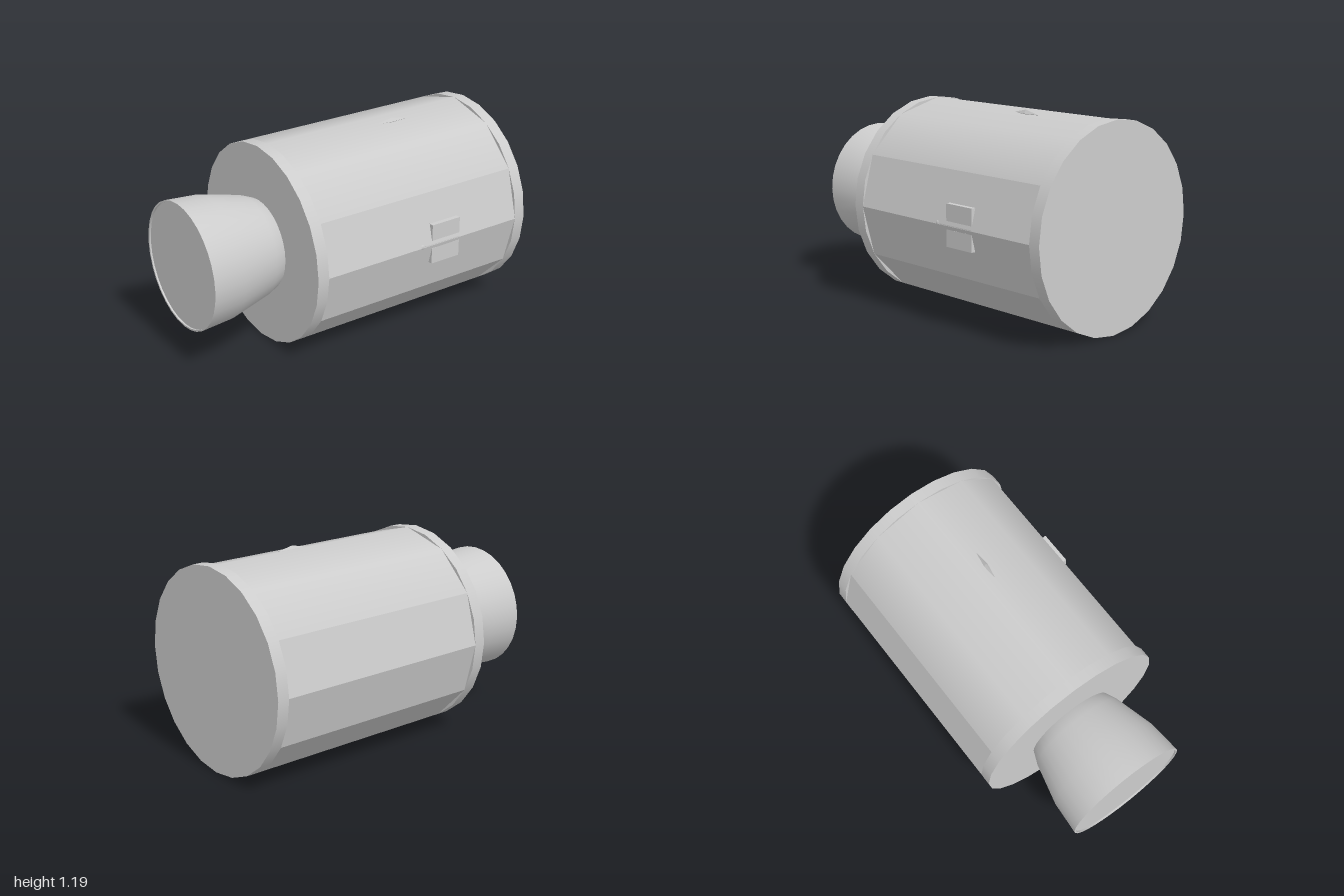
import * as THREE from 'three';

const R = 0.593; // body radius and height of its axis

export function createModel() {
  const model = new THREE.Group();
  const grey = new THREE.MeshStandardMaterial({ color: 0xcccccc });
  grey.name = 'light grey';

  const add = (name, geometry, x = 0, y = R, z = 0) => {
    const mesh = new THREE.Mesh(geometry, grey);
    mesh.name = name;
    mesh.position.set(x, y, z);
    model.add(mesh);
    return mesh;
  };
  const flat = (geometry) => {
    const g = geometry.toNonIndexed();
    g.computeVertexNormals();
    return g;
  };
  const alongX = (geometry) => geometry.rotateZ(-Math.PI / 2);
  const deg = THREE.MathUtils.degToRad;

  // Twelve-sided hull: smooth over the top, faceted on the sides and below
  const hull = (sides, start) =>
    alongX(new THREE.CylinderGeometry(R, R, 1.35, sides, 1, true, deg(start), deg(sides * 30)));
  add('hullTop', hull(4, 210), 0.255);
  add('hullSides', flat(hull(8, 330)), 0.255);

  // End rings with closed caps
  add('rearRing', alongX(new THREE.CylinderGeometry(R, R, 0.07, 24)), -0.453);
  add('frontRing', alongX(new THREE.CylinderGeometry(R, R, 0.07, 24)), 0.965);

  // Flared nozzle with a thin lip and a closed mouth
  const profile = [[0.25, 0.46], [0.27, 0.49], [0.3, 0.56], [0.36, 0.8], [0.375, 1]]
    .map(([r, d]) => new THREE.Vector2(r, -d));
  add('nozzle', alongX(new THREE.LatheGeometry(profile.reverse(), 32)));
  const lip = new THREE.RingGeometry(0.365, 0.375, 32).rotateY(-Math.PI / 2);
  add('nozzleLip', lip, -1);
  const lipWall = [[0.365, -0.985], [0.365, -1]].map(([r, d]) => new THREE.Vector2(r, d));
  add('nozzleLipWall', alongX(new THREE.LatheGeometry(lipWall, 32)));
  add('nozzleMouth', new THREE.CircleGeometry(0.366, 32).rotateY(-Math.PI / 2), -0.99);

  // Pair of raised panels on the front side, with a thin rod and knob between them
  for (const s of [-1, 1]) {
    add('sidePanel', new THREE.BoxGeometry(0.2, 0.097, 0.06), 0.4, 0.596 + s * 0.072, 0.558);
  }
  add('sideRod', alongX(new THREE.CylinderGeometry(0.014, 0.014, 0.25, 8)), 0.375, 0.596, 0.579);
  add('sideKnob', new THREE.SphereGeometry(0.025, 10, 8), 0.23, 0.596, 0.57);

  // Small ridged fin on top
  const fin = new THREE.OctahedronGeometry(1).scale(0.1, 0.022, 0.014);
  add('topFin', fin, 0.393, 1.167, 0.071).rotation.y = -0.06;

  return model;
}
